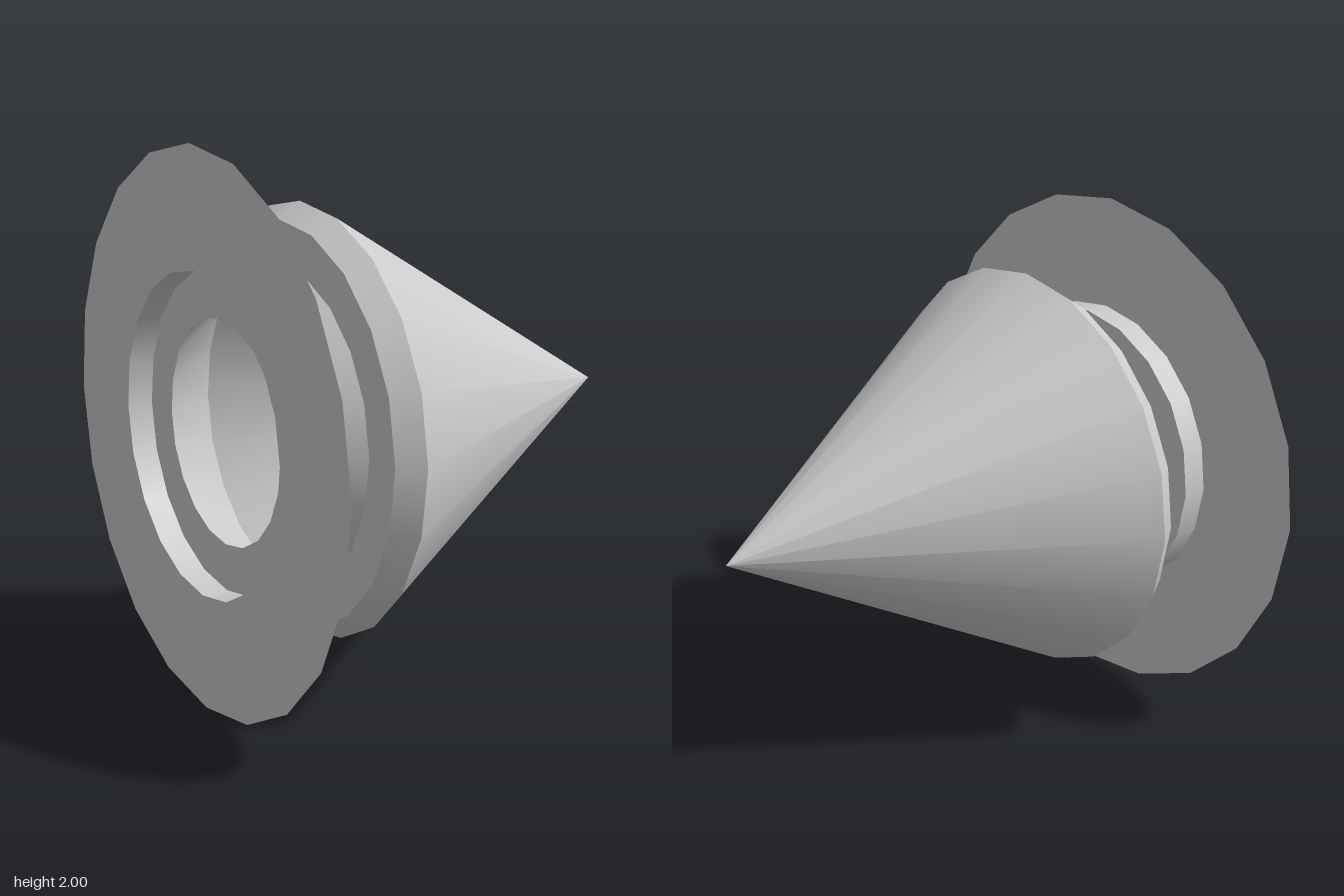
import * as THREE from 'three';

const SIDES = 20;

export function createModel() {
  const model = new THREE.Group();
  model.name = 'flangedCone';
  const material = new THREE.MeshStandardMaterial({ color: 0xcccccc, side: THREE.DoubleSide });

  // Thin shell: each band runs from one [radius, position along axis] to the next
  const bands = [
    ['flange', [1, -0.876], [0.576, -0.876]],
    ['collarWall', [0.576, -0.876], [0.576, -0.78]],
    ['collarFace', [0.576, -0.78], [0.405, -0.78]],
    ['neck', [0.405, -0.78], [0.576, -0.545]],
    ['shoulderFace', [0.576, -0.545], [0.73, -0.545]],
    ['rim', [0.73, -0.545], [0.787, -0.457]],
    ['noseCone', [0.787, -0.457], [0, 0.876]],
  ];

  // Separate bands keep the edges between them sharp
  for (const [name, start, end] of bands) {
    const profile = [new THREE.Vector2(...start), new THREE.Vector2(...end)];
    const mesh = new THREE.Mesh(new THREE.LatheGeometry(profile, SIDES), material);
    mesh.name = name;
    model.add(mesh);
  }

  // Lay the axis along x, tip towards +x
  model.rotation.z = -Math.PI / 2;
  model.position.y = 1;
  const root = new THREE.Group();
  root.name = 'model';
  root.add(model);
  return root;
}
